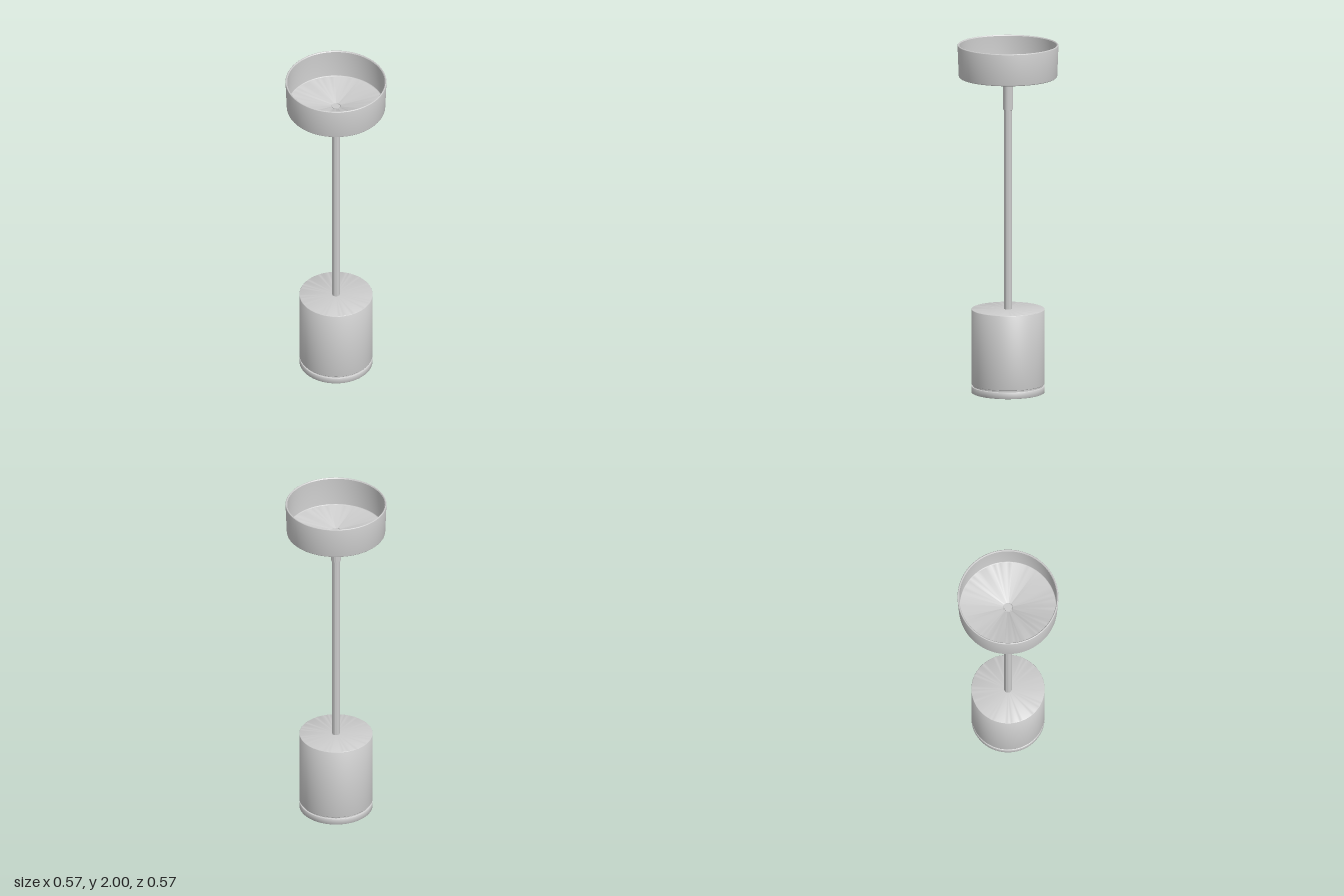
import * as THREE from 'three';
import { toCreasedNormals } from 'three/addons/utils/BufferGeometryUtils.js';

const material = new THREE.MeshStandardMaterial({ color: 0xcccccc });

// Solid of revolution; the profile runs from the bottom axis outward, up and back to the axis
function turned(name, profile) {
  const points = profile.map(([r, y]) => new THREE.Vector2(r, y));
  const geometry = toCreasedNormals(new THREE.LatheGeometry(points, 96), 0.6);
  const mesh = new THREE.Mesh(geometry, material);
  mesh.name = name;
  return mesh;
}

// Quarter-round from angle a to b (degrees) around a centre in the profile
function round(r, y, radius, a, b, steps = 4) {
  return Array.from({ length: steps + 1 }, (_, i) => {
    const t = THREE.MathUtils.degToRad(a + ((b - a) * i) / steps);
    return [r + radius * Math.cos(t), y + radius * Math.sin(t)];
  });
}

export function createModel() {
  const group = new THREE.Group();
  group.name = 'pendantLamp';

  // Ceiling cup, open at the top, with a small dip around the cable hole
  group.add(turned('ceilingCanopy', [
    [0, 1.815],
    ...round(0.273, 1.82, 0.005, -90, 0),
    ...round(0.281, 1.996, 0.004, 0, 90),
    [0.279, 2], [0.275, 1.995],
    [0.274, 1.83],
    ...round(0.269, 1.83, 0.005, 0, -90),
    [0.031, 1.825], [0.028, 1.823], [0.026, 1.818], [0, 1.818],
  ]));

  // Sleeve gripping the rod below the canopy
  group.add(turned('rodSleeve', [
    [0, 1.625], [0.026, 1.625], [0.028, 1.627], [0.028, 1.816], [0, 1.816],
  ]));

  // Suspension rod
  group.add(turned('rod', [[0, 0.47], [0.022, 0.47], [0.022, 1.822], [0, 1.822]]));

  // Cylindrical shade
  group.add(turned('shade', [
    [0, 0.048],
    ...round(0.204, 0.051, 0.003, -90, 0),
    ...round(0.203, 0.476, 0.004, 0, 90),
    [0, 0.48],
  ]));

  // Recessed neck between shade and trim ring
  group.add(turned('grooveNeck', [[0, 0.03], [0.198, 0.03], [0.198, 0.055], [0, 0.055]]));

  // Trim ring with a bevelled lip around the recessed diffuser
  group.add(turned('trimRing', [
    [0.182, 0.038], [0.182, 0.014], [0.195, 0.002], [0.2, 0],
    ...round(0.203, 0.004, 0.004, -90, 0),
    ...round(0.204, 0.035, 0.003, 0, 90),
    [0.182, 0.038],
  ]));

  // Light diffuser disc
  group.add(turned('diffuser', [[0, 0.014], [0.183, 0.014], [0.183, 0.036], [0, 0.036]]));

  return group;
}
